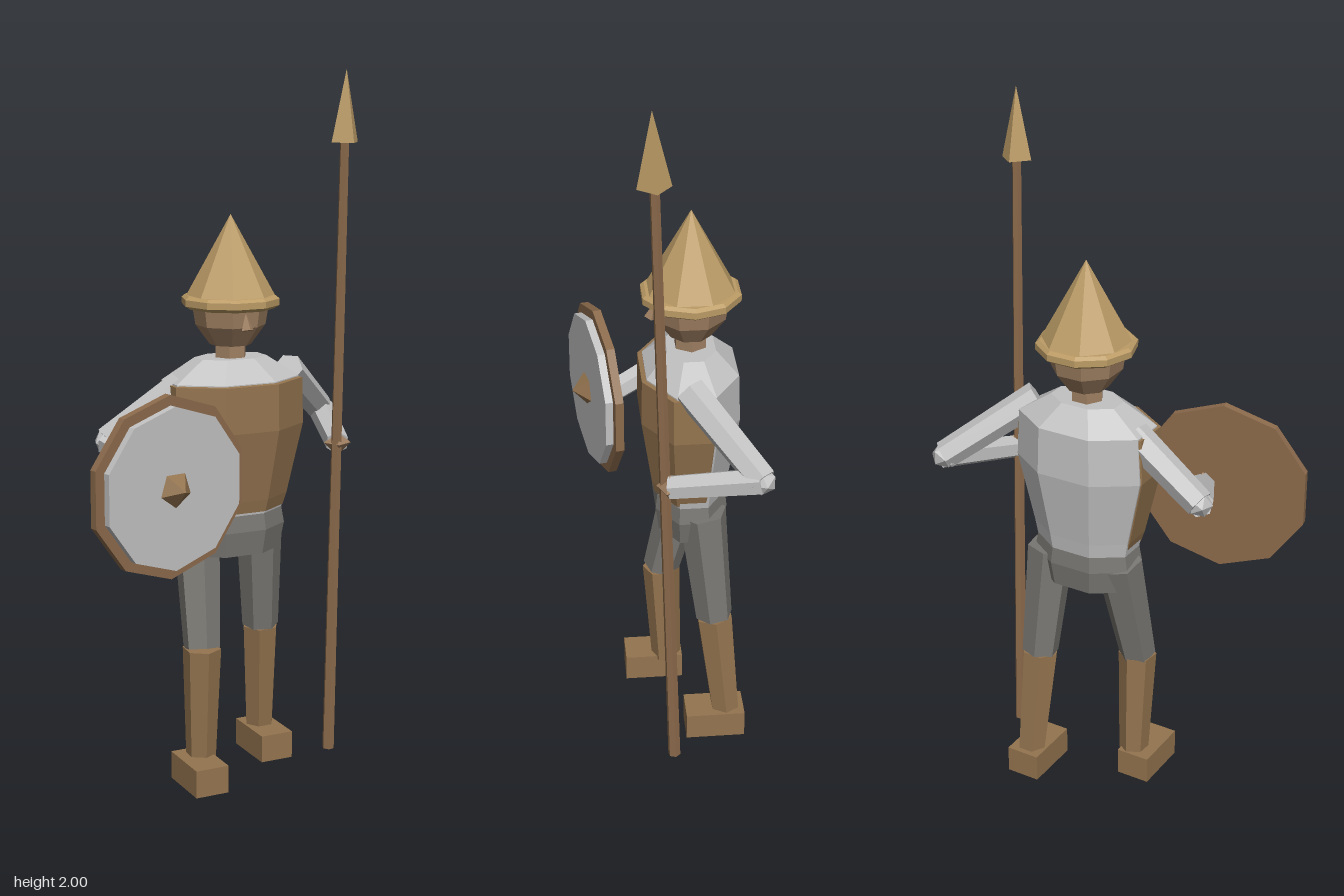
import * as THREE from 'three';

const material = (name, color) =>
  new THREE.MeshStandardMaterial({ name, color, flatShading: true });

export function createModel() {
  const shirt = material('light grey cloth', 0xc2c2c2);
  const leather = material('brown leather', 0x94744f);
  const trousers = material('dark grey cloth', 0x7a7873);
  const straw = material('tan hat', 0xbc9c66);
  const skin = material('skin', 0xa08062);
  const wood = material('brown wood', 0x8c6b4c);

  const model = new THREE.Group();
  model.name = 'spearGuard';
  const TURN = 0.35; // the body faces slightly to its left

  const add = (parent, name, geometry, mat, x = 0, y = 0, z = 0) => {
    const mesh = new THREE.Mesh(geometry, mat);
    mesh.name = name;
    mesh.position.set(x, y, z);
    parent.add(mesh);
    return mesh;
  };

  // Closed faceted solid from [radius, height] pairs, bottom to top
  const turned = (profile, sides = 8, sx = 1, sz = 1) => {
    const pts = [[0, profile[0][1]], ...profile, [0, profile.at(-1)[1]]];
    return new THREE.LatheGeometry(
      pts.map(([r, y]) => new THREE.Vector2(r, y)), sides, Math.PI / sides
    ).scale(sx, 1, sz);
  };

  // Tapered prism between two points
  const limb = (name, a, b, ra, rb, mat, sides = 6) => {
    const from = new THREE.Vector3(...a), to = new THREE.Vector3(...b);
    const dir = to.clone().sub(from);
    const mesh = add(model, name, new THREE.CylinderGeometry(rb, ra, dir.length(), sides), mat);
    mesh.position.copy(from).add(to).multiplyScalar(0.5);
    mesh.quaternion.setFromUnitVectors(new THREE.Vector3(0, 1, 0), dir.normalize());
    return mesh;
  };

  // Torso, head and hat share one turned group
  const body = new THREE.Group();
  body.name = 'body';
  body.position.set(0.022, 0, -0.088);
  body.rotation.y = TURN;
  model.add(body);

  add(body, 'shirt', turned(
    [[0.69, 0.745], [0.76, 0.82], [0.985, 1.02], [0.95, 1.155], [0.5, 1.215]],
    8, 0.215, 0.142), shirt);
  add(body, 'vest', turned(
    [[0.72, 0.785], [0.775, 0.82], [1.0, 1.02], [0.985, 1.15], [0.9, 1.152]],
    8, 0.215, 0.142), leather, 0, 0, 0.008);
  add(body, 'hips', turned(
    [[0.69, 0.66], [0.76, 0.73], [0.7, 0.8]], 8, 0.215, 0.142), trousers);

  add(body, 'neck', turned([[0.047, 1.19], [0.047, 1.27]], 6), skin);
  add(body, 'head', turned(
    [[0.058, 1.25], [0.098, 1.305], [0.106, 1.355], [0.1, 1.375]]), skin);
  const nose = add(body, 'nose', new THREE.ConeGeometry(0.018, 0.05, 4), skin, 0, 1.325, 0.1);
  nose.rotation.x = -0.25;

  add(body, 'hatBrim', turned(
    [[0.122, 1.352], [0.138, 1.362], [0.138, 1.38], [0.128, 1.388]], 10), straw);
  add(body, 'hatCone', turned([[0.13, 1.375], [0.0005, 1.61]]), straw);

  // Legs in a striding stance
  const legs = [
    ['right', [-0.078, 0.74, -0.062], [-0.07, 0.4, 0.018], [-0.072, 0.07, 0.004], [-0.08, 0.0475]],
    ['left', [0.112, 0.74, -0.15], [0.122, 0.4, -0.19], [0.125, 0.07, -0.228], [0.135, -0.1975]],
  ];
  for (const [side, hip, knee, ankle, foot] of legs) {
    limb(side + 'Thigh', hip, knee, 0.068, 0.053, trousers);
    limb(side + 'Shin', knee, ankle, 0.055, 0.043, leather);
    const boot = add(model, side + 'Foot', new THREE.BoxGeometry(0.1, 0.08, 0.17),
      leather, foot[0], 0.04, foot[1]);
    boot.rotation.y = TURN;
  }

  // Bent arms with faceted hands
  const arms = [
    ['right', [-0.12, 1.14, -0.04], [-0.33, 1.0, 0.012], [-0.145, 0.925, 0.19]],
    ['left', [0.19, 1.17, -0.13], [0.322, 1.01, -0.36], [0.332, 0.955, -0.115]],
  ];
  for (const [side, shoulder, elbow, hand] of arms) {
    limb(side + 'UpperArm', shoulder, elbow, 0.045, 0.04, shirt);
    limb(side + 'Forearm', elbow, hand, 0.038, 0.034, shirt);
    add(model, side + 'Elbow', new THREE.IcosahedronGeometry(0.037, 0), shirt, ...elbow);
    add(model, side + 'Hand', new THREE.OctahedronGeometry(0.038, 0), skin, ...hand);
  }

  // Spear, leaning slightly forward
  limb('spearShaft', [0.318, 0.03, -0.125], [0.335, 1.82, -0.075], 0.018, 0.013, wood);
  limb('spearHead', [0.335, 1.805, -0.075], [0.337, 2, -0.07], 0.044, 0.0005, straw, 4)
    .rotateY(0.45);

  // Round shield: wooden back, grey face and pointed boss, built facing +z
  const shield = new THREE.Group();
  shield.name = 'shield';
  shield.position.set(-0.178, 0.92, 0.236);
  shield.rotation.y = 0.55;
  model.add(shield);
  const disc = (r, depth, z, name, mat) =>
    add(shield, name, new THREE.CylinderGeometry(r, r, depth, 10)
      .rotateY(Math.PI).rotateX(Math.PI / 2), mat, 0, 0, z);
  disc(0.25, 0.024, 0, 'shieldBack', wood);
  disc(0.222, 0.024, 0.022, 'shieldFace', shirt);
  add(shield, 'shieldBoss',
    new THREE.ConeGeometry(0.052, 0.045, 5).rotateX(Math.PI / 2), leather, 0, 0, 0.055);

  return model;
}
